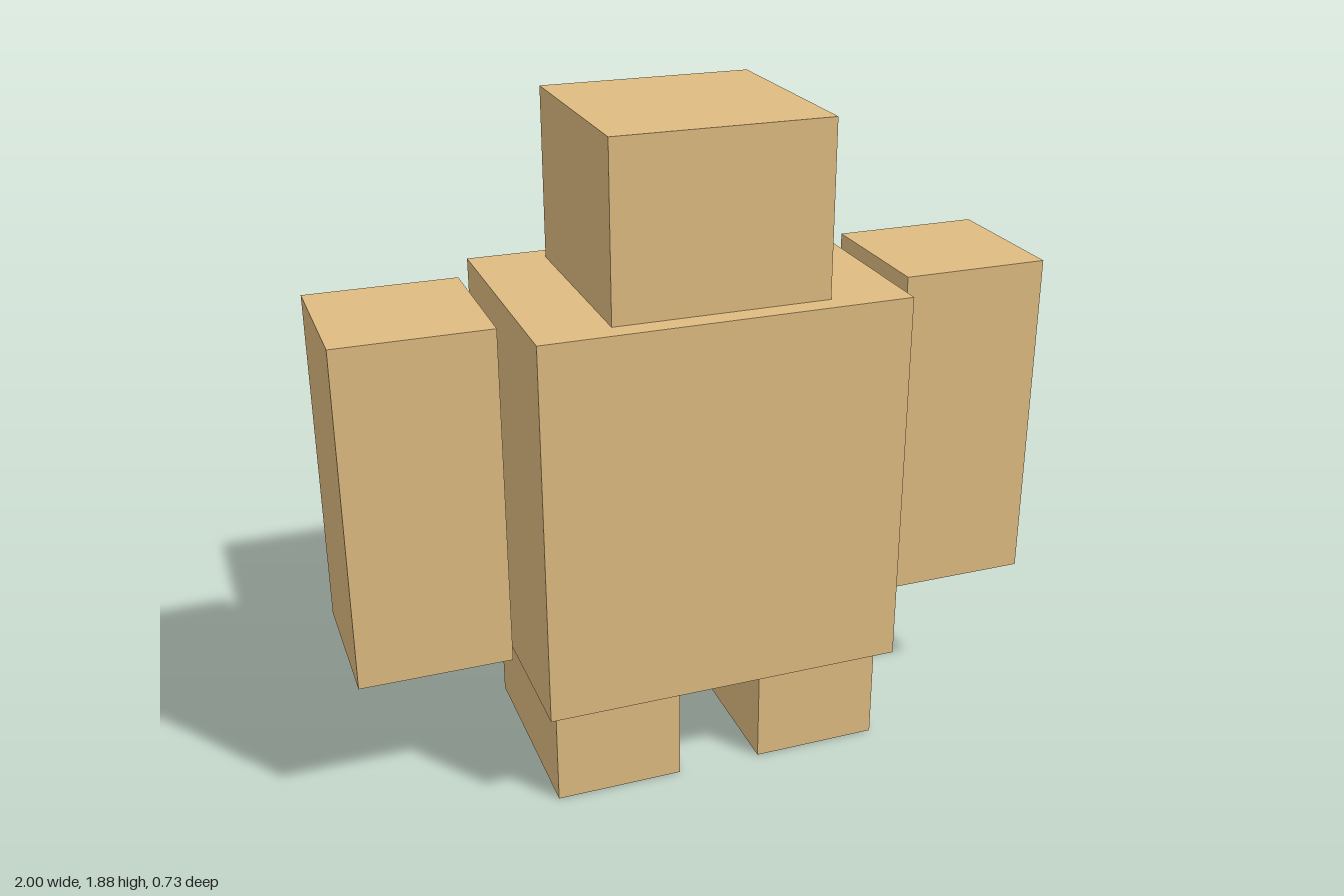
import * as THREE from 'three';

// All parts sit on a grid: the figure is 33 units wide
const U = 2 / 33;

export function createModel() {
  const group = new THREE.Group();
  const material = new THREE.MeshStandardMaterial({ color: 0xdebb80, flatShading: true });

  // Block centred on z = 0, placed by its centre x and its bottom y
  const block = (name, w, h, d, x, bottom) => {
    const mesh = new THREE.Mesh(new THREE.BoxGeometry(w * U, h * U, d * U), material);
    mesh.name = name;
    mesh.position.set(x * U, (bottom + h / 2) * U, 0);
    group.add(mesh);
  };

  block('torso', 17, 18, 12, 0, 5);
  block('head', 10, 8, 10, 0, 23);

  // Mirrored limbs; the arms hang one unit clear of the torso
  for (const [side, s] of [['left', 1], ['right', -1]]) {
    block(side + 'Arm', 7, 16, 7, s * 13, 7);
    block(side + 'Leg', 6, 5, 10, s * 5, 0);
  }

  return group;
}
